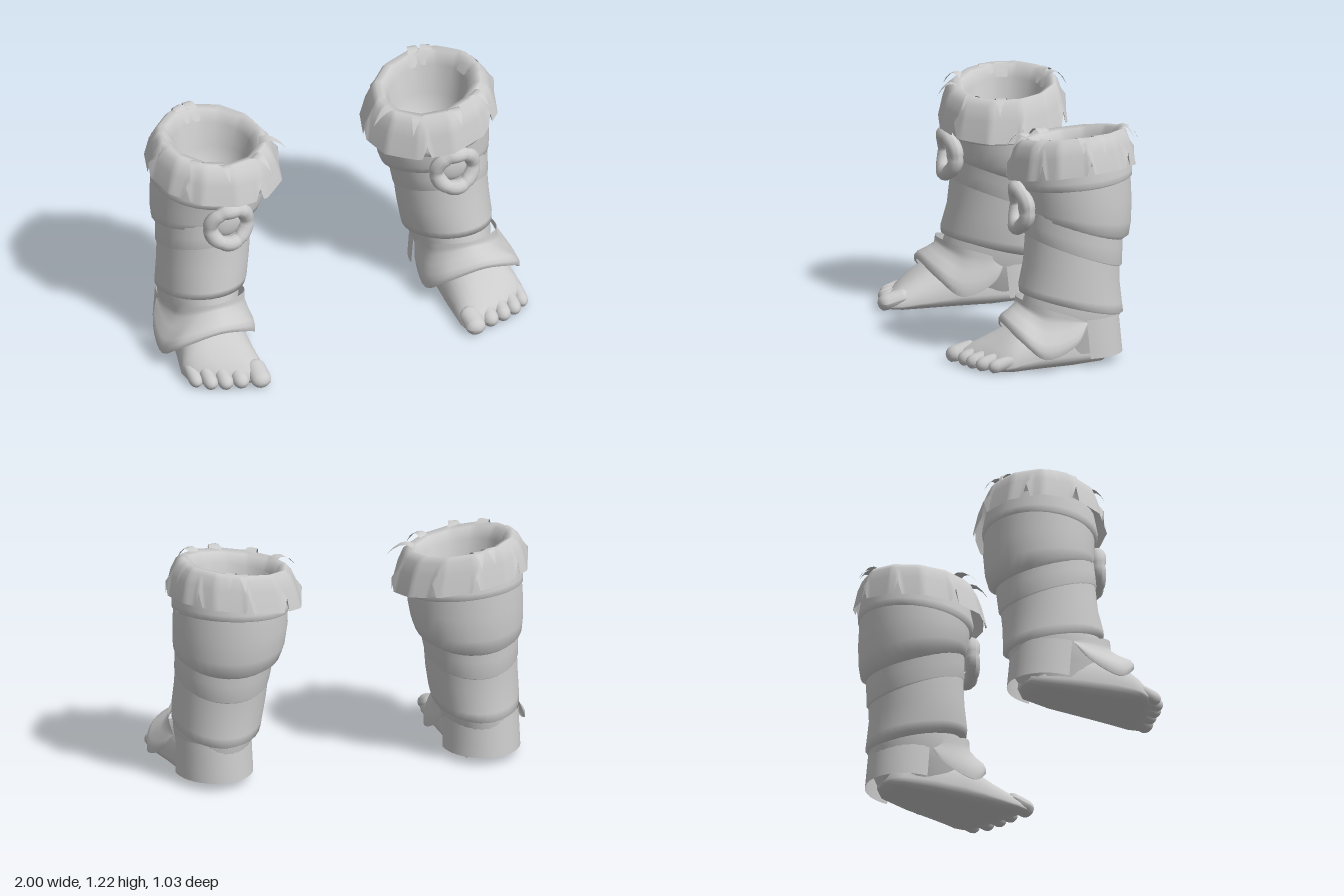
import * as THREE from 'three';

const material = new THREE.MeshStandardMaterial({ color: 0xcccccc, side: THREE.DoubleSide });

// Grid surface from a rule fn(u, v) -> [x, y, z]; optionally closed around u
function surface(nu, nv, closed, fn) {
  const cols = closed ? nu : nu + 1, pos = [], index = [];
  for (let j = 0; j <= nv; j++)
    for (let i = 0; i < cols; i++) pos.push(...fn(i / nu, j / nv));
  for (let j = 0; j < nv; j++)
    for (let i = 0; i < nu; i++) {
      const k = (i + 1) % cols;
      const a = j * cols + i, b = j * cols + k, c = a + cols, d = b + cols;
      index.push(a, b, c, b, d, c);
    }
  const g = new THREE.BufferGeometry();
  g.setAttribute('position', new THREE.Float32BufferAttribute(pos, 3));
  g.setIndex(index);
  g.computeVertexNormals();
  return g;
}

// Stacked tilted ellipses: [xInner, xOuter, zBack, zFront, yFront, yBack, sideTilt]
function loft(rings, n = 32, warp = () => [1, 0]) {
  return surface(n, rings.length - 1, true, (u, v) => {
    const row = Math.round(v * (rings.length - 1));
    const [xi, xo, zb, zf, yf, yb, tilt = 0] = rings[row];
    const a = u * Math.PI * 2, [k, lift] = warp(a, row, Math.round(u * n));
    const c = Math.cos(a), s = Math.sin(a);
    return [(xi + xo) / 2 + (xo - xi) / 2 * k * c,
      (yf + yb) / 2 + (yf - yb) / 2 * s + tilt * c + lift,
      (zb + zf) / 2 + (zf - zb) / 2 * k * s];
  });
}

const curve = pts => new THREE.CatmullRomCurve3(pts.map(p => new THREE.Vector3(...p)));

function buildBoot() {
  const boot = new THREE.Group();
  const add = (name, geometry) => {
    const mesh = new THREE.Mesh(geometry, material);
    mesh.name = name;
    boot.add(mesh);
  };

  // Overlapping leg wraps, top to bottom, each with a tucked lower lip
  add('thighWrap', loft([
    [.34, .92, -.455, .1, 1.04, 1.09], [.32, .932, -.475, .12, .94, .99, .02],
    [.322, .932, -.472, .112, .905, .96, .02], [.335, .92, -.46, .09, .895, .95, .02]]));
  add('kneeWrap', loft([
    [.33, .925, -.465, .1, .92, .97], [.33, .93, -.47, .095, .86, .84],
    [.345, .93, -.465, .09, .81, .72], [.365, .925, -.45, .085, .78, .645],
    [.40, .90, -.41, .06, .765, .62]]));
  add('calfBand', loft([
    [.385, .912, -.42, .085, .82, .68], [.405, .912, -.415, .095, .73, .58],
    [.42, .912, -.41, .1, .67, .49], [.43, .9, -.395, .088, .66, .48]]));
  add('shinWrap', loft([
    [.42, .905, -.40, .09, .70, .53], [.435, .912, -.395, .108, .52, .41],
    [.455, .92, -.405, .138, .41, .29], [.465, .92, -.41, .135, .37, .245],
    [.50, .895, -.38, .09, .355, .23]]));
  add('ankle', loft([
    [.50, .905, -.39, .1, .39, .27], [.505, .91, -.385, .13, .30, .2],
    [.53, .89, -.37, .15, .2, .12], [.57, .87, -.33, .1, .08, .05]]));

  // Folded cuff: inner lining, rolled crest and a slit, faceted hem
  const cuff = [
    [.61, .61, -.18, -.18, .82, .82], [.47, .73, -.3, -.05, .84, .84],
    [.42, .79, -.35, -.01, .98, .98], [.40, .81, -.37, .01, 1.1, 1.13, .03],
    [.365, .85, -.41, .05, 1.15, 1.19, .035], [.33, .885, -.44, .09, 1.16, 1.2, .035],
    [.30, .915, -.46, .13, 1.125, 1.175, .04], [.27, .945, -.48, .15, 1.06, 1.12, .045],
    [.24, .97, -.505, .175, .95, 1.01, .05]];
  const step = Math.PI / 6, slits = [0, 12, 30, 48, 62, 72, 84];
  add('cuff', loft(cuff, 96, (a, row, col) => [
    row < 4 ? 1 : Math.cos(step / 2) / Math.cos(a % step - step / 2),
    row === 8 && slits.includes(col) ? .075 : 0]));

  // Pointed tufts lying over the crest: [angle, tip radius, tip height]
  [[2.8, .39, -.06], [2.2, .36, -.06], [1.45, .345, -.05], [.85, .345, -.06], [.1, .335, -.1],
    [-.25, .335, -.1], [-1.25, .325, -.07], [-1.5, .35, -.07]].forEach(([a, r, h]) => {
    const c = Math.cos(a), s = Math.sin(a), y = 1.18 + .035 * c - .02 * s;
    const path = new THREE.QuadraticBezierCurve(
      new THREE.Vector2(.2, y - .07), new THREE.Vector2(.27, y + .085), new THREE.Vector2(r, y + h));
    add('cuffTuft', surface(2, 6, false, (u, v) => {
      const p = path.getPoint(v), w = (.5 - u) * .075 * (1 - v * v);
      return [.61 + c * p.x + s * w, p.y, -.17 + s * p.x - c * w];
    }));
  });

  // Knee ring, wrapped in bound segments and bent around the leg
  add('kneeRing', surface(48, 12, true, (u, v) => {
    const a = u * Math.PI * 2, b = v * Math.PI * 2;
    const t = .035 + .006 * Math.sqrt(Math.abs(Math.sin(a * 3)));
    const r = .102 + t * Math.cos(b);
    return [.635 + r * Math.cos(a), .808 + r * Math.sin(a),
      .108 + .034 * Math.sin(a) ** 2 + t * Math.sin(b)];
  }));
  add('kneeStone', new THREE.SphereGeometry(.08, 20, 12).scale(1, 1, .35).translate(.635, .808, .095));

  // Bare foot, rounded under the heel and slanted at the toes: [z, xInner, xOuter, top, bottom]
  const sections = [
    [-.33, .71, .71, .07, .05], [-.32, .64, .78, .1, .03], [-.27, .59, .83, .2, .008],
    [-.1, .56, .88, .26, .004], [.08, .55, .92, .26, .006], [.19, .545, .945, .215, .006],
    [.27, .545, .955, .17, .005], [.34, .545, .945, .125, .005], [.39, .56, .91, .09, .01],
    [.41, .6, .85, .06, .03], [.412, .72, .72, .045, .04]];
  add('foot', surface(28, sections.length - 1, true, (u, v) => {
    const [z, xi, xo, top, low] = sections[Math.round(v * (sections.length - 1))];
    const a = u * Math.PI * 2, c = Math.cos(a), s = Math.sin(a);
    const mid = low + (top - low) * .2;
    const y = s > 0 ? mid + (top - mid) * s : mid - (mid - low) * Math.min(1, -1.6 * s);
    const x = (xi + xo) / 2 + (xo - xi) / 2 * Math.sign(c) * Math.abs(c) ** .8;
    return [x, y, z + Math.max(0, z - .2) * 2 * (.74 - x)];
  }));

  // Toes: [x, tip z, half width, half height], rising into the foot
  [[.602, .51, .054, .044], [.7, .475, .043, .041], [.778, .455, .041, .04],
    [.85, .425, .039, .039], [.913, .375, .036, .037]].forEach(([x, tip, w, h]) => {
    const g = new THREE.CapsuleGeometry(1, 1.6, 6, 14).rotateX(Math.PI / 2);
    g.scale(w, h, .16 / 3.6);
    const p = g.attributes.position;
    for (let i = 0; i < p.count; i++) {
      const back = Math.max(0, .05 - p.getZ(i));
      p.setY(i, Math.max(p.getY(i), -h + .006) + back * .25);
    }
    g.translate(x, h, tip - .08);
    g.computeVertexNormals();
    add('toe', g);
  });

  // Instep flap: upright collar, flared skirt and a tucked hem
  const flapTop = curve([[.525, .245, -.15], [.505, .285, -.05], [.525, .32, .06], [.61, .345, .135],
    [.71, .35, .16], [.81, .345, .135], [.89, .32, .06], [.92, .285, -.05], [.925, .245, -.15]]);
  const flapHem = curve([[.525, .235, -.155], [.495, .14, -.09], [.48, .075, .09], [.55, .16, .2],
    [.74, .23, .255], [.94, .16, .2], [1, .075, .09], [.975, .14, -.09], [.93, .235, -.155]]);
  const profile = [[0, 0], [.02, .14], [.05, .27], [.4, .47], [.85, .68], [1, .84], [1, 1], [.9, 1]];
  add('instepFlap', surface(40, profile.length - 1, false, (u, v) => {
    const [out, down] = profile[Math.round(v * (profile.length - 1))];
    const t = flapTop.getPoint(1 - u), h = flapHem.getPoint(1 - u);
    return [t.x + (h.x - t.x) * out, t.y + (h.y - t.y) * down, t.z + (h.z - t.z) * out];
  }));

  // Open heel guard
  add('heelFlap', surface(20, 3, false, (u, v) => {
    const a = Math.PI * (1 + u), k = 1 + .03 * v;
    return [.715 + .198 * k * Math.cos(a), .25 - .205 * v, -.155 - .02 * v + .225 * Math.sin(a)];
  }));
  return boot;
}

// Flip all geometry to the other side of x = 0, reversing the faces
function mirror(group) {
  group.traverse(o => {
    if (!o.isMesh) return;
    const g = o.geometry, index = g.index.array;
    g.scale(-1, 1, 1);
    for (let i = 0; i < index.length; i += 3) [index[i], index[i + 1]] = [index[i + 1], index[i]];
    g.computeVertexNormals();
  });
  return group;
}

export function createModel() {
  const model = new THREE.Group();
  const left = buildBoot(), right = mirror(buildBoot());
  left.name = 'leftBoot';
  right.name = 'rightBoot';
  model.add(left, right);
  return model;
}
